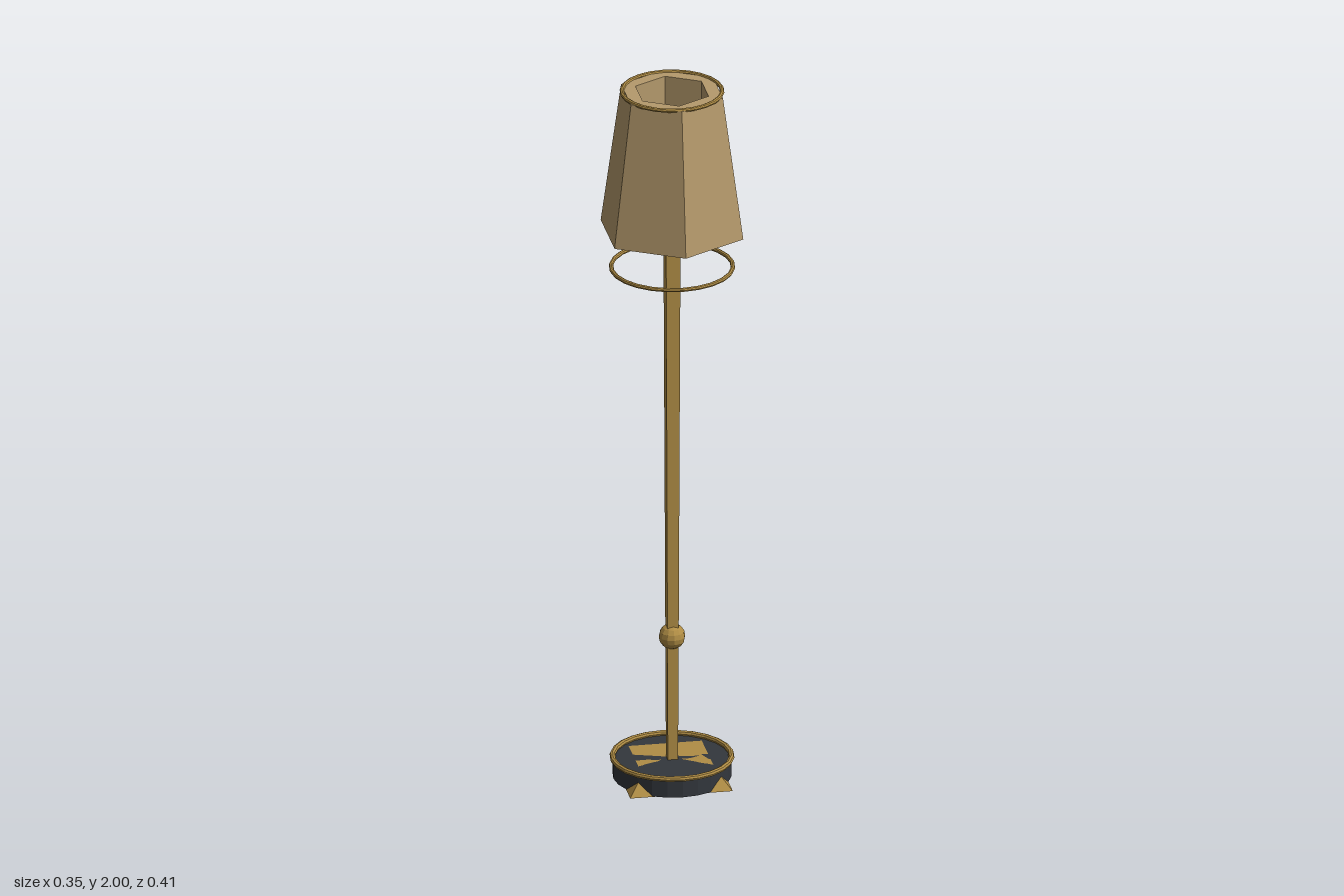
import * as THREE from 'three';

export function createModel() {
  const model = new THREE.Group();
  const mat = (color) => new THREE.MeshStandardMaterial({ color, flatShading: true });
  const gold = mat(0xb08d45);
  const dark = mat(0x33373d);
  const cream = mat(0xb59a6c);

  const add = (name, geometry, material, y) => {
    const mesh = new THREE.Mesh(geometry, material);
    mesh.name = name;
    mesh.position.y = y;
    model.add(mesh);
    return mesh;
  };

  // Square tapered block with sides parallel to the axes, given by half widths
  const squareTaper = (top, bottom, height) =>
    new THREE.CylinderGeometry(top * Math.SQRT2, bottom * Math.SQRT2, height, 4).rotateY(Math.PI / 4);

  // Horizontal ring
  const ring = (radius, tube) => new THREE.TorusGeometry(radius, tube, 8, 24).rotateX(Math.PI / 2);

  // Base: dark disc, with a tapered square plinth whose corners poke out as feet
  add('baseDisc', new THREE.CylinderGeometry(0.16, 0.16, 0.049, 24), dark, 0.0255);
  add('basePlinth', squareTaper(0.1, 0.14, 0.05), gold, 0.025);
  add('baseRing', ring(0.16, 0.008), gold, 0.055);

  // Slim square pole, widening upwards, with a ball low down
  const poleBottom = 0.05, poleTop = 1.64;
  add('pole', squareTaper(0.02, 0.014, poleTop - poleBottom), gold, (poleBottom + poleTop) / 2);
  add('poleBall', new THREE.SphereGeometry(0.036, 12, 8), gold, 0.405);

  // Ring hanging below the shade
  add('lowerRing', ring(0.164, 0.006), gold, 1.483);

  // Six-sided shade with thick walls and a straight hexagonal bore
  const profile = [[0.104, 0], [0.203, 0], [0.145, 0.404], [0.104, 0.404], [0.104, 0]]
    .map(([r, y]) => new THREE.Vector2(r, y));
  add('shade', new THREE.LatheGeometry(profile, 6), cream, 1.59);
  add('shadeTopRing', ring(0.135, 0.006), gold, 1.994);

  return model;
}
